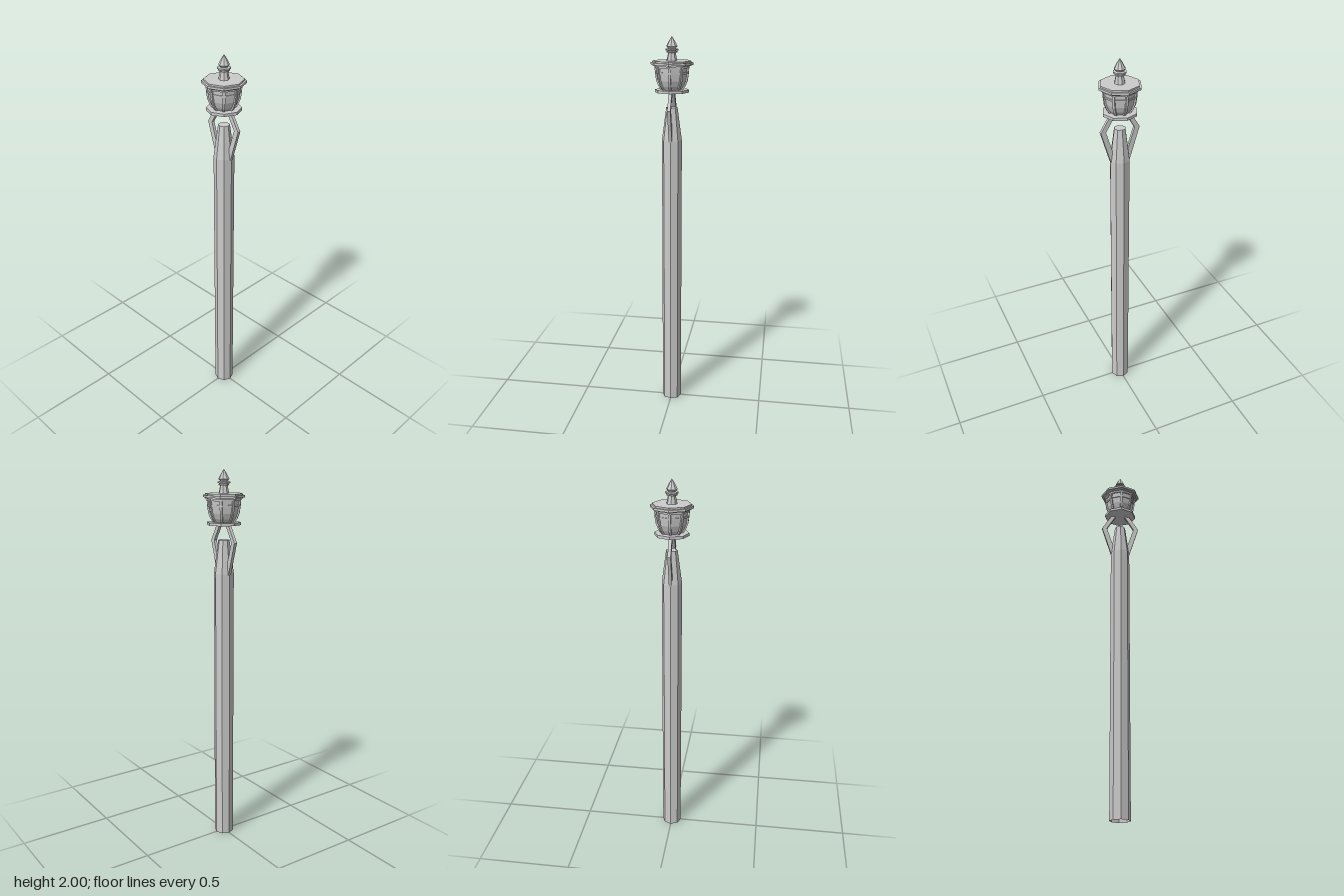
import * as THREE from 'three';

const SIDES = 8;
const grey = new THREE.MeshStandardMaterial({ color: 0xcccccc, flatShading: true, side: THREE.DoubleSide });

function add(parent, name, geometry) {
  const mesh = new THREE.Mesh(geometry, grey);
  mesh.name = name;
  parent.add(mesh);
  return mesh;
}

// Eight-sided turned part from [radius, height] pairs, bottom to top
function turned(parent, name, profile) {
  const points = profile.map(([r, y]) => new THREE.Vector2(r, y));
  return add(parent, name, new THREE.LatheGeometry(points, SIDES));
}

// Flat bar cut from an outline in the xy plane, centred on z = 0
function plate(outline, depth) {
  const shape = new THREE.Shape(outline.map(([x, y]) => new THREE.Vector2(x, y)));
  return new THREE.ExtrudeGeometry(shape, { depth, bevelEnabled: false }).translate(0, 0, -depth / 2);
}

export function createModel() {
  const model = new THREE.Group();
  model.name = 'lampPost';

  // Hollow pole, open at the foot, with a tapered capped top
  turned(model, 'pole', [[0.052, 0], [0.052, 1.48], [0.029, 1.65], [0, 1.65]]);

  // Two bent arms carrying the lantern
  const armOutline = [[0.04, 1.475], [0.052, 1.475], [0.103, 1.642], [0.05, 1.728],
    [0.025, 1.728], [0.076, 1.642], [0.036, 1.515]];
  for (const [name, turn] of [['leftArm', 0], ['rightArm', Math.PI]]) {
    add(model, name, plate(armOutline, 0.016)).rotation.y = turn;
  }

  const lantern = new THREE.Group();
  lantern.name = 'lantern';
  model.add(lantern);

  // Base plate
  turned(lantern, 'basePlate', [[0, 1.725], [0.087, 1.725], [0.087, 1.739], [0, 1.739]]);

  // Glazed bowl
  const bowl = [[0.051, 1.739], [0.063, 1.757], [0.074, 1.785], [0.079, 1.82], [0.082, 1.858]];
  turned(lantern, 'glass', bowl);

  // Ribs along the corners of the bowl
  const ribOutline = [...bowl.map(([r, y]) => [r + 0.006, y]),
    ...bowl.map(([r, y]) => [r - 0.008, y]).reverse()];
  const ribGeometry = plate(ribOutline, 0.012);
  for (let i = 0; i < SIDES; i++) {
    add(lantern, 'rib', ribGeometry).rotation.y = i * Math.PI * 2 / SIDES;
  }

  // Horizontal bands of the frame
  turned(lantern, 'middleBand', [[0.077, 1.817], [0.083, 1.817], [0.084, 1.827], [0.078, 1.827]]);
  turned(lantern, 'upperBand', [[0.079, 1.846], [0.088, 1.846], [0.089, 1.858], [0.08, 1.858]]);

  // Roof with a wide rim
  turned(lantern, 'roof', [[0, 1.856], [0.098, 1.856], [0.098, 1.862], [0.108, 1.862],
    [0.108, 1.873], [0.098, 1.873], [0.098, 1.881], [0, 1.881]]);

  // Finial: neck, collars and pointed tip
  turned(lantern, 'finialNeck', [[0.027, 1.881], [0.023, 1.9], [0.018, 1.926]]);
  turned(lantern, 'finialCollar', [[0.018, 1.919], [0.027, 1.921], [0.027, 1.927],
    [0.021, 1.929], [0.033, 1.931], [0.033, 1.938], [0.02, 1.94]]);
  turned(lantern, 'finialTip', [[0.018, 1.938], [0.022, 1.944], [0.028, 1.951], [0.014, 1.978], [0, 2]]);

  return model;
}
